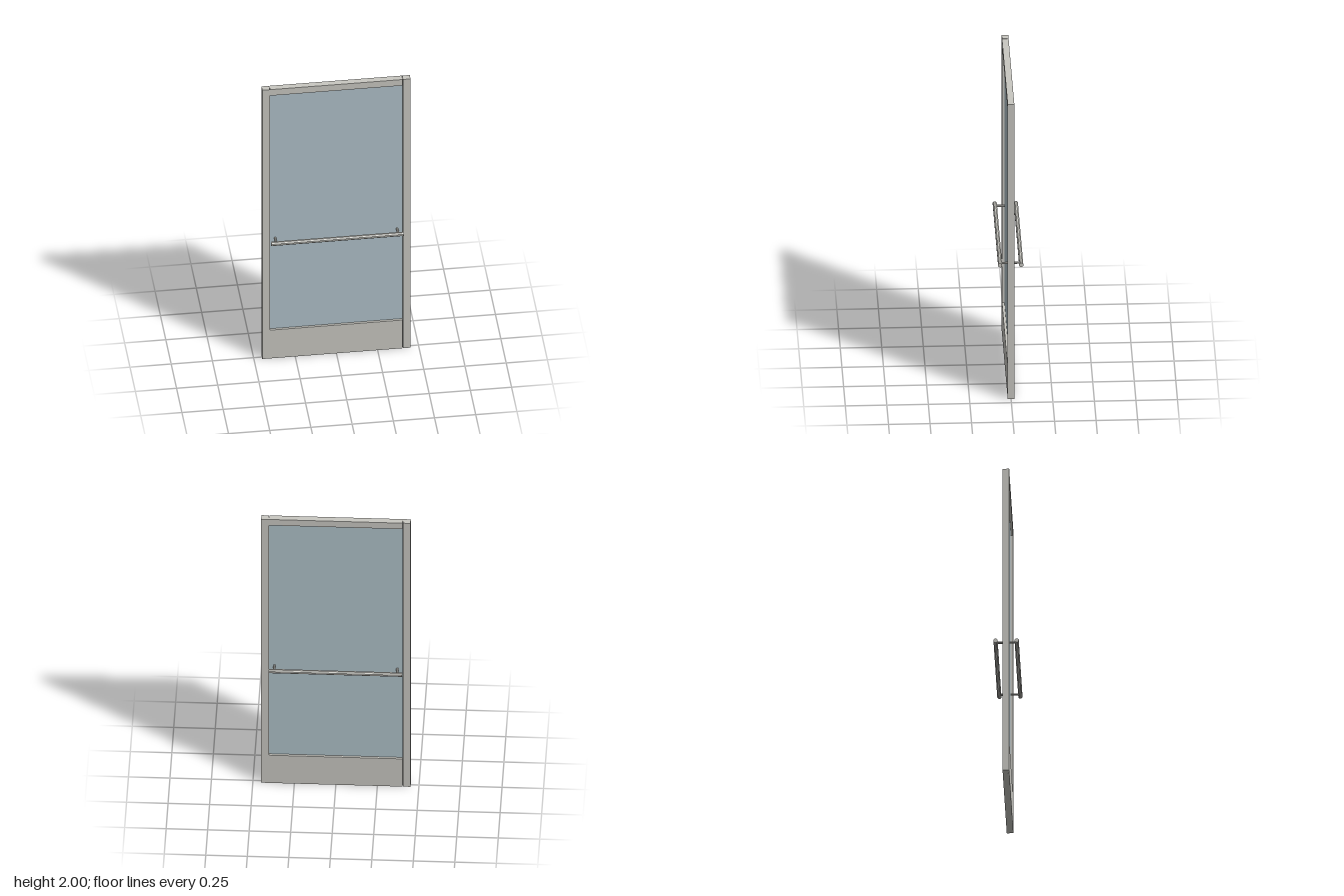
import * as THREE from 'three';

export function createModel() {
  const door = new THREE.Group();
  door.name = 'glassDoor';

  const metal = new THREE.MeshStandardMaterial({ color: 0xc9c8c2 });
  metal.name = 'satin metal';
  const glass = new THREE.MeshStandardMaterial({ color: 0xb0c2ca });
  glass.name = 'pale blue glass';

  const depth = 0.04;

  function box(name, w, h, d, x, y, material) {
    const mesh = new THREE.Mesh(new THREE.BoxGeometry(w, h, d), material);
    mesh.name = name;
    mesh.position.set(x, y, 0);
    door.add(mesh);
  }

  // Rails and glazed panel, set between the stiles
  box('topRail', 0.804, 0.045, depth, 0, 1.9775, metal);
  box('bottomRail', 0.804, 0.21, depth, 0, 0.105, metal);
  box('glassPane', 0.804, 1.745, 0.01, 0, 1.0825, glass);

  // Upright stiles, with a fine joint beside the rails
  for (const side of [-1, 1]) {
    box(side > 0 ? 'leftStile' : 'rightStile', 0.046, 2, depth, side * 0.427, 1, metal);
  }

  // Horizontal pull bars on both faces, each on two standoffs
  const barGeometry = new THREE.CylinderGeometry(0.0135, 0.0135, 0.804, 8, 1)
    .rotateY(Math.PI / 8).rotateZ(Math.PI / 2).toNonIndexed();
  barGeometry.computeVertexNormals();
  const postGeometry = new THREE.CylinderGeometry(0.007, 0.007, 0.055, 8, 1)
    .rotateX(Math.PI / 2).toNonIndexed();
  postGeometry.computeVertexNormals();

  for (const face of [-1, 1]) {
    const handle = new THREE.Group();
    handle.name = face > 0 ? 'frontHandle' : 'backHandle';
    handle.position.y = 0.883;

    const bar = new THREE.Mesh(barGeometry, metal);
    bar.name = 'pullBar';
    bar.position.z = face * 0.0635;
    handle.add(bar);

    for (const side of [-1, 1]) {
      const post = new THREE.Mesh(postGeometry, metal);
      post.name = 'standoff';
      post.position.set(side * 0.37, 0, face * 0.0315);
      handle.add(post);
    }
    door.add(handle);
  }

  return door;
}
